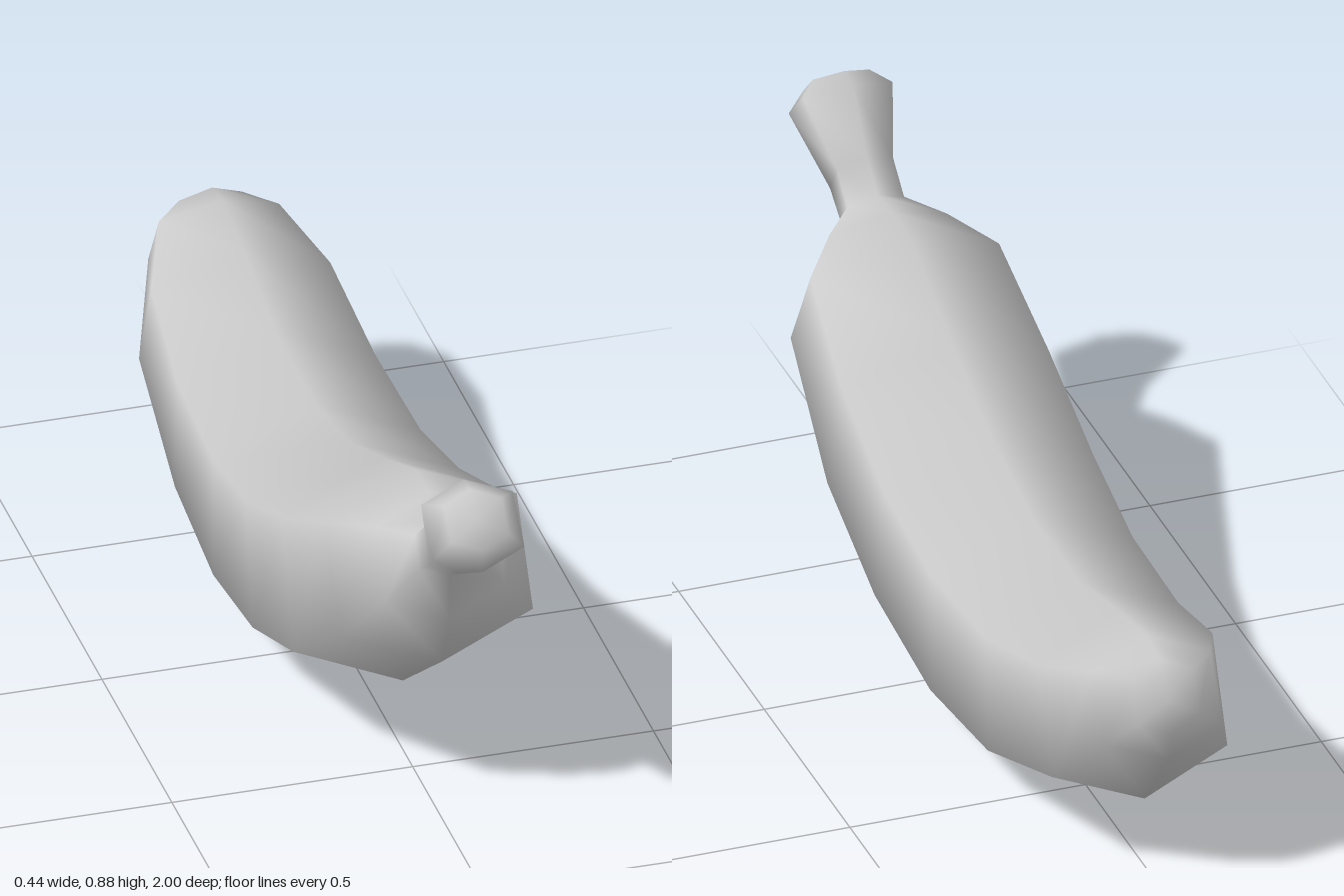
import * as THREE from 'three';

// Six-sided cross-sections, stem end to tip: top z, top y, bottom z, bottom y, half width
const RINGS = [
  [0.91, 0.88, 1.0, 0.79, 0.06],
  [0.86, 0.875, 1.0, 0.74, 0.095],
  [0.775, 0.755, 0.84, 0.645, 0.06],
  [0.715, 0.70, 0.765, 0.597, 0.06],
  [0.625, 0.71, 0.76, 0.495, 0.125],
  [0.517, 0.703, 0.71, 0.367, 0.2],
  [0.29, 0.60, 0.43, 0.163, 0.22],
  [0.05, 0.50, 0.137, 0.057, 0.222],
  [-0.185, 0.447, -0.185, 0.003, 0.215],
  [-0.47, 0.452, -0.50, 0.035, 0.205],
  [-0.70, 0.51, -0.845, 0.158, 0.186],
  [-0.86, 0.54, -0.985, 0.325, 0.125],
  [-0.935, 0.527, -1.0, 0.39, 0.065],
];
const NECK = 3; // ring where the stem meets the fruit

// Corners of a section: side (-1..1 across) and height (0 bottom..1 top)
const CORNERS = [[0, 1], [1, 0.8], [1, 0.2], [0, 0], [-1, 0.2], [-1, 0.8]];
const SIDES = CORNERS.length;

export function createModel() {
  const positions = [];
  for (const [topZ, topY, bottomZ, bottomY, width] of RINGS) {
    for (const [side, height] of CORNERS) {
      positions.push(
        side * width,
        THREE.MathUtils.lerp(bottomY, topY, height),
        THREE.MathUtils.lerp(bottomZ, topZ, height),
      );
    }
  }
  const stemCentre = RINGS.length * SIDES;
  const tipCentre = stemCentre + 1;
  positions.push(0, 0.837, 0.96, 0, 0.46, -0.985);

  // Skin between two rings
  const skin = (from, to) => {
    const index = [];
    for (let i = from; i < to; i++) {
      for (let k = 0; k < SIDES; k++) {
        const a = i * SIDES + k;
        const b = i * SIDES + (k + 1) % SIDES;
        index.push(a, b, a + SIDES, b, b + SIDES, a + SIDES);
      }
    }
    return index;
  };

  // Fan closing one end
  const cap = (ring, centre, front) => {
    const index = [];
    for (let k = 0; k < SIDES; k++) {
      const a = ring * SIDES + k;
      const b = ring * SIDES + (k + 1) % SIDES;
      index.push(centre, ...(front ? [b, a] : [a, b]));
    }
    return index;
  };

  const last = RINGS.length - 1;
  const stemIndex = [...cap(0, stemCentre, true), ...skin(0, NECK)];
  const fruitIndex = [...skin(NECK, last), ...cap(last, tipCentre, false)];

  // Normals come from the whole skin so the shading runs smoothly across the neck
  const whole = new THREE.BufferGeometry();
  whole.setAttribute('position', new THREE.Float32BufferAttribute(positions, 3));
  whole.setIndex([...stemIndex, ...fruitIndex]);
  whole.computeVertexNormals();

  const material = new THREE.MeshStandardMaterial({ color: 0xcccccc });
  const group = new THREE.Group();
  group.name = 'banana';
  for (const [name, index] of [['stem', stemIndex], ['fruit', fruitIndex]]) {
    const geometry = whole.clone();
    geometry.setIndex(index);
    const mesh = new THREE.Mesh(geometry, material);
    mesh.name = name;
    group.add(mesh);
  }
  return group;
}
